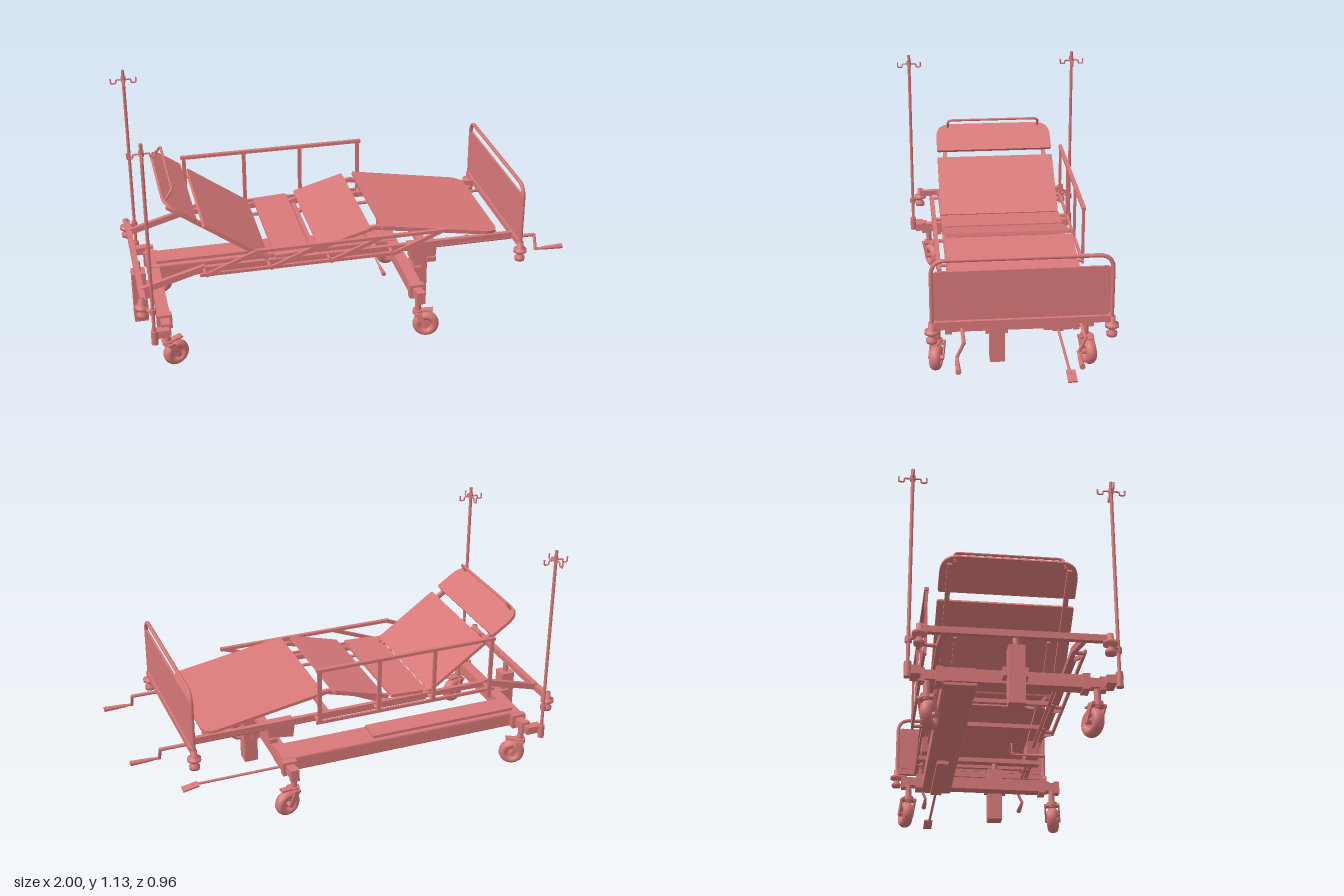
import * as THREE from 'three';

const material = new THREE.MeshStandardMaterial({ color: 0xd87878, side: THREE.DoubleSide });
const V = (p) => new THREE.Vector3(...p);

export function createModel() {
  const model = new THREE.Group();
  model.name = 'hospitalBed';

  const add = (name, geometry, parent = model) => {
    const mesh = new THREE.Mesh(geometry, material);
    mesh.name = name;
    parent.add(mesh);
    return mesh;
  };
  // Box given by its minimum and maximum corners
  const box = (name, a, b, parent) => add(name, new THREE.BoxGeometry(b[0] - a[0], b[1] - a[1], b[2] - a[2])
    .translate((a[0] + b[0]) / 2, (a[1] + b[1]) / 2, (a[2] + b[2]) / 2), parent);
  // Square bar in a plane of constant z
  const bar = (name, x0, y0, x1, y1, z, h, w, parent) => {
    const mesh = add(name, new THREE.BoxGeometry(Math.hypot(x1 - x0, y1 - y0), h, w), parent);
    mesh.position.set((x0 + x1) / 2, (y0 + y1) / 2, z);
    mesh.rotation.z = Math.atan2(y1 - y0, x1 - x0);
    return mesh;
  };
  // Round rod between two points
  const rod = (name, a, b, r, parent, r2 = r) => {
    const d = V(b).sub(V(a));
    const mesh = add(name, new THREE.CylinderGeometry(r2, r, d.length(), 16), parent);
    mesh.position.copy(V(a)).addScaledVector(d, 0.5);
    mesh.quaternion.setFromUnitVectors(new THREE.Vector3(0, 1, 0), d.normalize());
    return mesh;
  };
  // Bent tube with rounded corners
  const pipe = (name, points, r, bend, parent) => {
    const p = points.map(V), path = new THREE.CurvePath();
    let last = p[0];
    for (let i = 1; i < p.length - 1; i++) {
      const into = p[i].clone().add(p[i - 1].clone().sub(p[i]).setLength(bend));
      const out = p[i].clone().add(p[i + 1].clone().sub(p[i]).setLength(bend));
      path.add(new THREE.LineCurve3(last, into));
      path.add(new THREE.QuadraticBezierCurve3(into, p[i], out));
      last = out;
    }
    path.add(new THREE.LineCurve3(last, p[p.length - 1]));
    return add(name, new THREE.TubeGeometry(path, 64, r, 10), parent);
  };
  // Flat mattress panel from (x0,y0) to (x1,y1), with a corner radius at each end
  const panel = (name, x0, y0, x1, y1, half, r0, r1) => {
    const L = Math.hypot(x1 - x0, y1 - y0), s = new THREE.Shape();
    s.moveTo(r0, -half);
    s.lineTo(L - r1, -half);
    s.quadraticCurveTo(L, -half, L, -half + r1);
    s.lineTo(L, half - r1);
    s.quadraticCurveTo(L, half, L - r1, half);
    s.lineTo(r0, half);
    s.quadraticCurveTo(0, half, 0, half - r0);
    s.lineTo(0, -half + r0);
    s.quadraticCurveTo(0, -half, r0, -half);
    const g = new THREE.ExtrudeGeometry(s, { depth: 0.014, bevelEnabled: false }).rotateX(-Math.PI / 2);
    const mesh = add(name, g);
    mesh.position.set(x0, y0, 0);
    mesh.rotation.z = Math.atan2(y1 - y0, x1 - x0);
  };

  // Mattress deck
  panel('headrestPanel', -0.84, 0.775, -0.705, 0.68, 0.29, 0.08, 0.01);
  panel('backPanel', -0.675, 0.655, -0.395, 0.455, 0.29, 0.01, 0.01);
  panel('seatPanel', -0.36, 0.46, -0.2, 0.468, 0.29, 0.01, 0.01);
  panel('thighPanel', -0.16, 0.478, 0.08, 0.545, 0.29, 0.01, 0.01);
  panel('legPanel', 0.125, 0.548, 0.68, 0.452, 0.29, 0.01, 0.07);
  pipe('headrestHandle', [[-0.83, 0.76, -0.23], [-0.79, 0.82, -0.23], [-0.79, 0.82, 0.23], [-0.83, 0.76, 0.23]], 0.006, 0.025);
  for (const s of [-1, 1]) {
    bar('backSupport', -0.82, 0.75, -0.39, 0.443, s * 0.25, 0.018, 0.02);
    bar('thighSupport', -0.2, 0.455, 0.1, 0.54, s * 0.25, 0.018, 0.02);
    bar('legSupport', 0.1, 0.54, 0.68, 0.443, s * 0.25, 0.018, 0.02);
    bar('liftArm', -0.17, 0.415, 0.06, 0.52, s * 0.2, 0.014, 0.014);
    bar('backLiftArm', -0.39, 0.415, -0.55, 0.55, s * 0.2, 0.014, 0.014);
  }

  // Main frame
  for (const s of [-1, 1]) {
    bar('sideRail', -0.7, 0.443, 0.755, 0.443, s * 0.28, 0.024, 0.02);
    bar('slopedRail', -0.96, 0.368, -0.67, 0.45, s * 0.28, 0.028, 0.02);
    const shape = new THREE.Shape([[0.26, 0.435], [0.39, 0.435], [0.385, 0.375], [0.27, 0.36]].map(q => new THREE.Vector2(...q)));
    add('gearBox', new THREE.ExtrudeGeometry(shape, { depth: 0.06, bevelEnabled: false })).position.z = s * 0.25 - 0.03;

    // Cranks
    const z = s * 0.25;
    rod('crankShaft', [-0.39, 0.408, z], [0.87, 0.408, z], 0.008);
    rod('crankArm', [0.87, 0.412, z], [0.87, 0.345, z + 0.03], 0.007);
    rod('crankSpindle', [0.865, 0.348, z + 0.03], [0.92, 0.348, z + 0.03], 0.006);
    rod('crankGrip', [0.9, 0.348, z + 0.03], [1, 0.348, z + 0.03], 0.008, model, 0.012);
  }
  for (const x of [-0.39, -0.17, 0.1, 0.62]) box('frameCrossbar', [x - 0.01, 0.425, -0.28], [x + 0.01, 0.445, 0.28]);
  box('headCrossbar', [-0.97, 0.352, -0.38], [-0.945, 0.38, 0.38]);
  box('footCrossbar', [0.743, 0.428, -0.37], [0.767, 0.456, 0.37]);
  box('columnCrossbar', [0.345, 0.35, -0.29], [0.385, 0.372, 0.29]);

  // Corner bumpers
  const bumperProfile = [[0, -0.08], [0.022, -0.08], [0.024, -0.065], [0.013, -0.055], [0.013, -0.045], [0.03, -0.038],
    [0.03, -0.025], [0.014, -0.02], [0.014, 0.01], [0, 0.01]].map(q => new THREE.Vector2(...q));
  for (const [x, y] of [[-0.965, 0.375], [0.755, 0.44]])
    for (const s of [-1, 1]) add('cornerBumper', new THREE.LatheGeometry(bumperProfile, 20)).position.set(x, y, s * 0.377);

  // Footboard
  pipe('footboardFrame', [[0.755, 0.42, -0.375], [0.755, 0.728, -0.375], [0.755, 0.728, 0.375], [0.755, 0.42, 0.375]], 0.009, 0.06);
  const board = new THREE.Shape();
  board.moveTo(-0.35, 0.46).lineTo(0.35, 0.46).quadraticCurveTo(0.367, 0.46, 0.367, 0.48).lineTo(0.367, 0.66)
    .quadraticCurveTo(0.367, 0.68, 0.35, 0.68).lineTo(-0.35, 0.68).quadraticCurveTo(-0.367, 0.68, -0.367, 0.66)
    .lineTo(-0.367, 0.48).quadraticCurveTo(-0.367, 0.46, -0.35, 0.46);
  add('footboardPanel', new THREE.ExtrudeGeometry(board, { depth: 0.01, bevelEnabled: false })
    .rotateY(Math.PI / 2).translate(0.75, 0, 0));

  // Side guards: raised on the far side, folded on the near side
  const guard = (name, z, dx, top) => {
    const g = new THREE.Group();
    g.name = name;
    model.add(g);
    bar('topRail', -0.69 + dx, top, 0.18 + dx, top, z, 0.014, 0.018, g);
    bar('lowerRail', -0.7, 0.44, 0.18, 0.44, z, 0.014, 0.012, g);
    [-0.675, -0.39, -0.12, 0.165].forEach((x, i) => {
      bar('guardPost', x, dx || i ? 0.435 : 0.4, x + dx, top, z, 0.017, 0.012, g);
      rod('guardPivot', [x, 0.443, Math.sign(z) * 0.27], [x, 0.443, z], 0.008, g);
    });
  };
  guard('raisedSideGuard', -0.335, 0, 0.7);
  guard('foldedSideGuard', 0.328, 0.235, 0.528);

  // Infusion poles with four hooks
  for (const s of [-1, 1]) {
    const g = new THREE.Group();
    g.name = 'infusionPole';
    g.position.set(-0.922, 0, s * 0.417);
    model.add(g);
    rod('poleTube', [0, 0.18, 0], [0, 1.13, 0], 0.0075, g);
    rod('poleSocket', [0, 0.175, 0], [0, 0.24, 0], 0.015, g);
    rod('poleClamp', [0, 0.325, 0], [0, 0.35, 0], 0.014, g);
    rod('hookHub', [0, 1.075, 0], [0, 1.1, 0], 0.011, g);
    for (let i = 0; i < 4; i++) {
      pipe('poleHook', [[0, 1.085, 0], [0.035, 1.085, 0], [0.035, 1.068, 0], [0.058, 1.068, 0], [0.058, 1.092, 0]],
        0.0035, 0.007, g).rotation.y = i * Math.PI / 2;
    }
    rod('poleBrace', [0, 0.337, 0], [-0.043, 0.337, -s * 0.04], 0.008, g);
  }

  // Base: cross beams, long offset beam and lift columns
  const beam = new THREE.Shape();
  beam.moveTo(-0.275, 0.18).lineTo(-0.275, 0.235).quadraticCurveTo(-0.275, 0.248, -0.26, 0.248).lineTo(-0.155, 0.248)
    .quadraticCurveTo(-0.14, 0.248, -0.14, 0.235).lineTo(-0.14, 0.18).quadraticCurveTo(-0.14, 0.172, -0.155, 0.172)
    .lineTo(-0.26, 0.172).quadraticCurveTo(-0.275, 0.172, -0.275, 0.18);
  add('longBeam', new THREE.ExtrudeGeometry(beam, { depth: 1.2, bevelEnabled: false, curveSegments: 6 })
    .rotateY(-Math.PI / 2).scale(1, 1, 1).translate(0.32, 0, 0));
  box('beamCover', [-0.85, 0.246, -0.26], [-0.13, 0.262, -0.155]);
  for (const x of [-0.865, 0.295]) {
    box('crossBeam', [x - 0.027, 0.183, -0.28], [x + 0.027, 0.238, 0.28]);
    for (const s of [-1, 1]) {
      box('beamCap', [x - 0.034, 0.175, s * 0.29 - 0.015], [x + 0.034, 0.242, s * 0.29 + 0.015]);
      box('beamEnd', [x - 0.02, 0.19, s * 0.335 - 0.035], [x + 0.02, 0.23, s * 0.335 + 0.035]);
      box('casterMount', [x - 0.02, 0.18, s * 0.36 - 0.013], [x + 0.02, 0.238, s * 0.36 + 0.013]);
      if (x < 0) bar('poleArm', -0.93, 0.208, x + 0.01, 0.208, s * 0.385, 0.036, 0.04);
    }
  }
  for (const [x, z, join] of [[-0.947, 0.003, -0.9], [0.367, 0.075, 0.33]]) {
    box('liftColumn', [x - 0.032, 0.063, z - 0.033], [x + 0.032, 0.312, z + 0.033]);
    rod('liftPiston', [x, 0.3, z], [x, 0.36, z], 0.012);
    box('columnBracket', [Math.min(x, join), 0.19, z - 0.05], [Math.max(x, join), 0.23, z + 0.05]);
  }

  // Casters, each swivelled a little
  for (const x of [-0.86, 0.29]) {
    for (const s of [-1, 1]) {
      const c = new THREE.Group();
      c.name = 'caster';
      c.position.set(x, 0, s * 0.338);
      c.rotation.y = x < 0 ? 0.4 * -s * -1 : -0.25 * s;
      model.add(c);
      rod('casterStem', [0, 0.11, 0], [0, 0.195, 0], 0.014, c);
      rod('casterCollar', [0, 0.115, 0], [0, 0.135, 0], 0.024, c);
      const tyre = add('tyre', new THREE.TorusGeometry(0.041, 0.02, 12, 32).scale(1, 1, 1.25), c);
      tyre.position.set(0.038, 0.062, 0);
      rod('wheelDisc', [0.038, 0.062, -0.008], [0.038, 0.062, 0.008], 0.03, c);
      rod('wheelHub', [0.038, 0.062, -0.035], [0.038, 0.062, 0.035], 0.011, c);
      for (const k of [-1, 1]) bar('casterFork', 0, 0.124, 0.04, 0.058, k * 0.032, 0.024, 0.006, c);
      box('forkCrown', [-0.014, 0.115, -0.035], [0.02, 0.127, 0.035], c);
      bar('brakePedal', 0.01, 0.13, 0.07, 0.136, 0, 0.008, 0.03, c);
    }
  }

  // Foot pedal
  rod('pedalRod', [-0.09, 0.167, -0.21], [0.73, 0.167, -0.21], 0.006);
  box('pedalMount', [-0.09, 0.155, -0.235], [0.3, 0.175, -0.185]);
  bar('pedalPlate', 0.7, 0.17, 0.775, 0.155, -0.215, 0.008, 0.04);

  // Release lever
  pipe('releaseLever', [[0.3, 0.37, 0.25], [0.26, 0.37, 0.13], [0.14, 0.37, 0.13], [0.14, 0.31, 0.13], [0.14, 0.31, 0.23]], 0.004, 0.012);
  rod('releaseGrip', [0.14, 0.31, 0.21], [0.14, 0.31, 0.285], 0.006, model, 0.01);

  return model;
}
